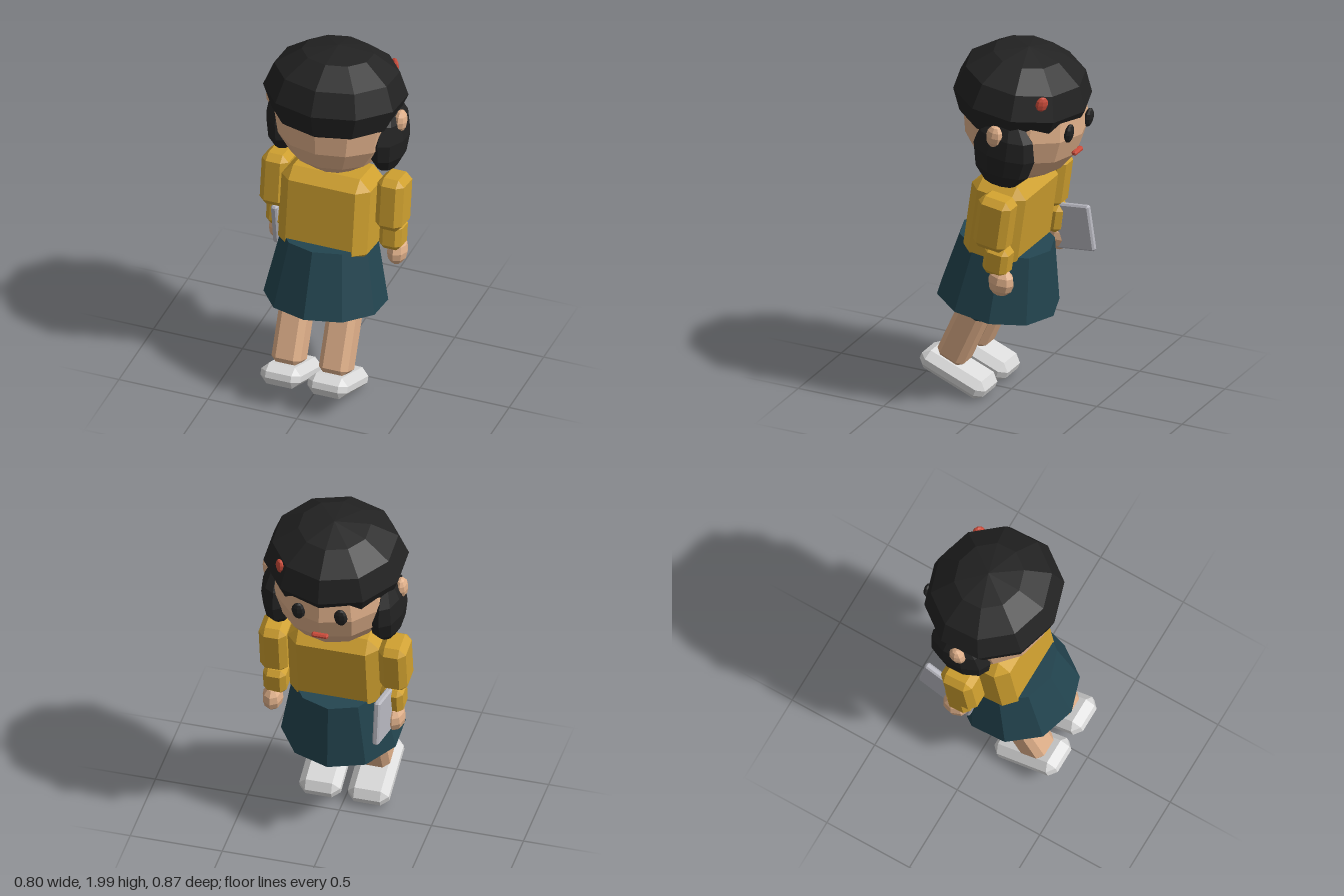
import * as THREE from 'three';
import { ConvexGeometry } from 'three/addons/geometries/ConvexGeometry.js';

const paint = (name, color) => {
  const m = new THREE.MeshStandardMaterial({ color, flatShading: true });
  m.name = name;
  return m;
};

// Box with chamfered edges and corners
function chamferBox(w, h, d, c) {
  const pts = [];
  for (const sx of [-1, 1]) for (const sy of [-1, 1]) for (const sz of [-1, 1]) {
    const x = w / 2, y = h / 2, z = d / 2;
    pts.push(
      new THREE.Vector3(sx * x, sy * (y - c), sz * (z - c)),
      new THREE.Vector3(sx * (x - c), sy * y, sz * (z - c)),
      new THREE.Vector3(sx * (x - c), sy * (y - c), sz * z));
  }
  return new ConvexGeometry(pts);
}

// Faceted ellipsoid with a vertex column facing z
function ellipsoid(rx, ry, rz, segs = 10, rings = 6) {
  return new THREE.SphereGeometry(1, segs, rings).rotateY(Math.PI / 2).scale(rx, ry, rz);
}

export function createModel() {
  const model = new THREE.Group();
  model.name = 'figure';

  const hair = paint('hair black', 0x222222);
  const skin = paint('skin', 0xe0b08a);
  const shirt = paint('mustard', 0xcfa02f);
  const teal = paint('dark teal', 0x234550);
  const shoe = paint('shoe white', 0xdadada);
  const red = paint('red', 0xc94b3a);
  const grey = paint('tablet grey', 0xb7b7bf);

  const rad = THREE.MathUtils.degToRad;
  const LEAN = -8; // the whole body leans towards -z

  function add(name, geo, mat, x, y, z, pitch = LEAN, yaw = 0) {
    const mesh = new THREE.Mesh(geo, mat);
    mesh.name = name;
    mesh.position.set(x, y, z);
    mesh.rotation.set(rad(pitch), rad(yaw), 0);
    model.add(mesh);
    return mesh;
  }

  // Head and hair
  add('head', ellipsoid(0.335, 0.34, 0.33, 12, 8), skin, 0, 1.605, -0.085);
  add('hairCap', ellipsoid(0.384, 0.26, 0.367), hair, 0, 1.743, -0.065);
  add('hairClip', ellipsoid(0.02, 0.045, 0.035, 8, 6), red, 0.24, 1.8, -0.298, LEAN, 45);
  add('mouth', chamferBox(0.09, 0.026, 0.03, 0.008), red, 0, 1.457, -0.386);

  // Torso, neck and skirt
  add('neck', new THREE.CylinderGeometry(0.09, 0.09, 0.16, 8), skin, 0, 1.29, -0.035);
  add('torso', chamferBox(0.5, 0.49, 0.32, 0.062), shirt, 0, 1.043, 0.005);
  add('skirt', new THREE.CylinderGeometry(0.255, 0.328, 0.364, 10), teal, 0, 0.705, 0.052, -8.5);

  // Paired parts
  for (const s of [-1, 1]) {
    const side = s > 0 ? 'left' : 'right';
    add(side + 'HairPuff', ellipsoid(0.1, 0.205, 0.18), hair, s * 0.288, 1.508, -0.1);
    add(side + 'Ear', ellipsoid(0.035, 0.062, 0.048, 8, 6), skin, s * 0.36, 1.622, -0.08);
    add(side + 'Eye', ellipsoid(0.037, 0.054, 0.023, 8, 6), hair, s * 0.115, 1.605, -0.396);

    add(side + 'UpperArm', chamferBox(0.15, 0.3, 0.19, 0.035), shirt, s * 0.325, 1.115, -0.068);
    add(side + 'Forearm', chamferBox(0.125, 0.16, 0.14, 0.028), shirt, s * 0.318, 0.9, -0.082);
    add(side + 'Hand', ellipsoid(0.056, 0.078, 0.075, 8, 6), skin, s * 0.332, 0.778, -0.105);

    add(side + 'Thigh', chamferBox(0.2, 0.22, 0.19, 0.045), teal, s * 0.133, 0.56, 0.115, -24);
    add(side + 'Leg', chamferBox(0.163, 0.36, 0.165, 0.032), skin, s * 0.133, 0.352, 0.207, -24);
    add(side + 'Shoe', chamferBox(0.223, 0.115, 0.4, 0.04), shoe, s * 0.132, 0.12, 0.245, -22);
  }

  // Flat tablet held in the right hand
  add('tablet', chamferBox(0.036, 0.255, 0.33, 0.009), grey, -0.305, 0.857, -0.167, 8.5, -6);

  return model;
}
